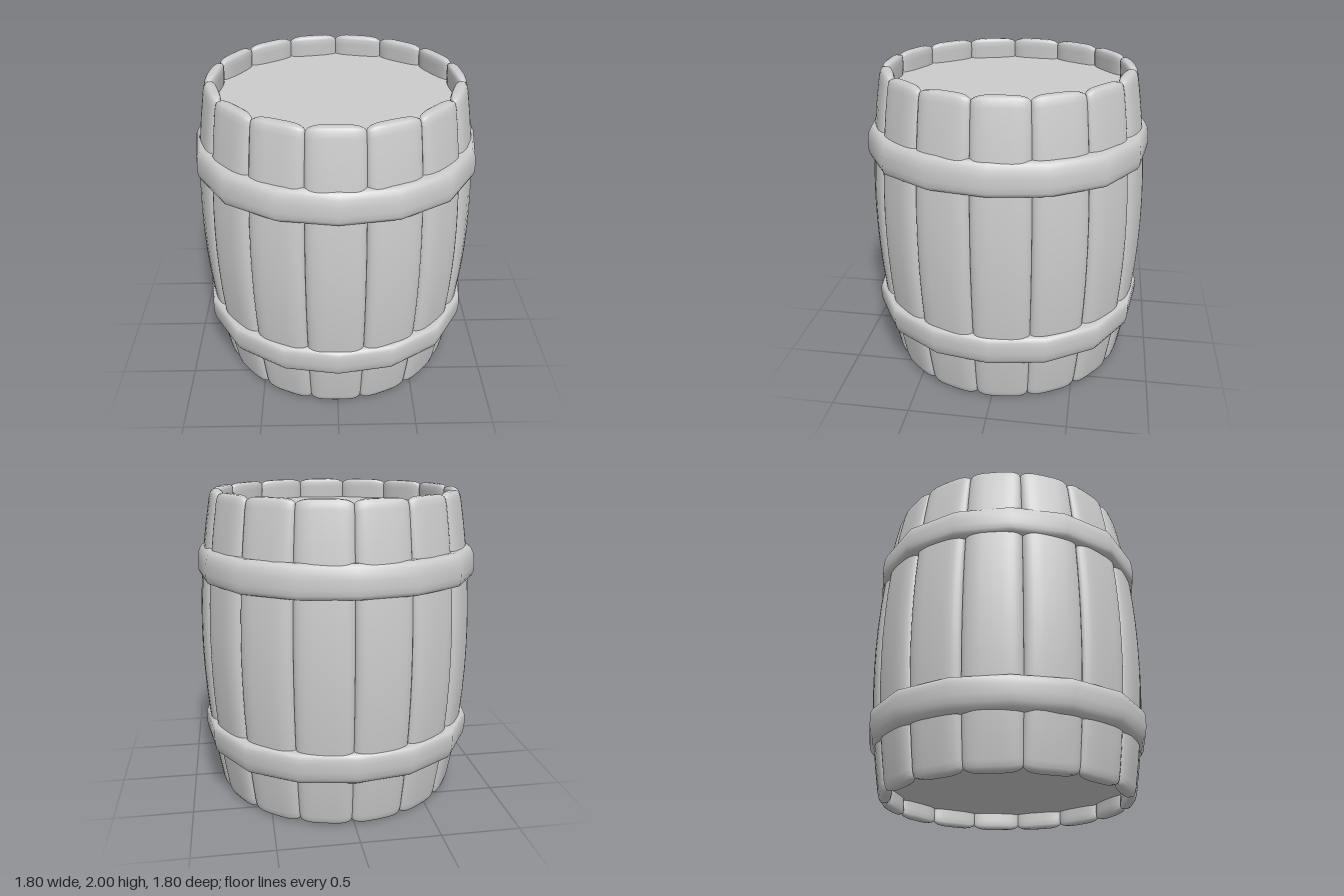
import * as THREE from 'three';

const material = new THREE.MeshStandardMaterial({ color: 0xcccccc });
const STAVES = 15;
const STEP = (Math.PI * 2) / STAVES;

function addMesh(parent, geometry, name) {
  const mesh = new THREE.Mesh(geometry, material);
  mesh.name = name;
  parent.add(mesh);
  return mesh;
}

// One bowed plank facing +z: rounded cross-sections lofted from bottom to top
function staveGeometry() {
  const sides = 28;
  const rows = [[0, 0.4], [0.006, 0.7], [0.022, 0.9], [0.055, 1]];
  for (let i = 1; i < 12; i++) rows.push([0.055 + (1.89 * i) / 12, 1]);
  rows.push([1.945, 1], [1.978, 0.9], [1.994, 0.7], [2, 0.4]);

  const round = (v, p) => Math.sign(v) * Math.pow(Math.abs(v), p);
  const positions = [];
  const index = [];
  rows.forEach(([y, fill]) => {
    const bow = (y - 1) ** 2;
    const half = 0.068 - 0.028 * bow; // half thickness
    const mid = 0.9 - 0.1 * bow - half; // radius of the plank's centre
    const width = mid * Math.tan(STEP / 2) + 0.003;
    const inset = (1 - fill) * 0.037;
    for (let j = 0; j < sides; j++) {
      const a = (j / sides) * Math.PI * 2;
      const across = round(Math.cos(a), 0.68);
      // Ends curve back a little towards the plank's long edges
      const drop = 1 - 0.02 * Math.abs(across) ** 5;
      positions.push(
        across * (width - inset * 0.4),
        1 + (y - 1) * drop,
        mid + round(Math.sin(a), 0.86) * (half - inset)
      );
    }
  });
  for (let i = 0; i < rows.length - 1; i++) {
    for (let j = 0; j < sides; j++) {
      const a = i * sides + j;
      const b = i * sides + ((j + 1) % sides);
      index.push(a, a + sides, b, b, a + sides, b + sides);
    }
  }
  // End caps, in strips between the outer and inner halves
  const t = (rows.length - 1) * sides;
  for (let j = 0; j < sides / 2; j++) {
    const [a, b, c, d] = [j, j + 1, sides - j - 1, (sides - j) % sides];
    index.push(a, b, c, a, c, d, t + a, t + c, t + b, t + a, t + d, t + c);
  }
  const geometry = new THREE.BufferGeometry();
  geometry.setAttribute('position', new THREE.Float32BufferAttribute(positions, 3));
  geometry.setIndex(index);
  geometry.computeVertexNormals();
  return geometry;
}

// Sixteen-sided band, tapered outwards, slightly fuller on the diagonals
function hoopGeometry(lower) {
  let profile = [
    [0.78, 1.45], [0.87, 1.455], [0.89, 1.462], [0.9, 1.485], [0.902, 1.52],
    [0.9, 1.57], [0.892, 1.615], [0.875, 1.645], [0.852, 1.66], [0.78, 1.655],
  ];
  if (lower) profile = profile.map(([r, y]) => [r, 1.975 - y]).reverse();
  const geometry = new THREE.LatheGeometry(profile.map(([r, y]) => new THREE.Vector2(r, y)), 16);
  const p = geometry.attributes.position;
  for (let i = 0; i < p.count; i++) {
    const angle = Math.atan2(p.getX(i), p.getZ(i));
    const k = 1 + 0.03 * Math.sin(2 * angle) ** 2;
    p.setXYZ(i, p.getX(i) * k, p.getY(i), p.getZ(i) * k);
  }
  return geometry;
}

export function createModel() {
  const barrel = new THREE.Group();
  barrel.name = 'barrel';

  // Ring of planks
  const staves = new THREE.Group();
  staves.name = 'staves';
  const stave = staveGeometry();
  for (let i = 0; i < STAVES; i++) {
    addMesh(staves, stave, 'stave').rotation.y = i * STEP - 0.018;
  }
  barrel.add(staves);

  // Bands
  addMesh(barrel, hoopGeometry(false), 'upperHoop');
  addMesh(barrel, hoopGeometry(true), 'lowerHoop');

  // Recessed end discs
  addMesh(barrel, new THREE.CylinderGeometry(0.785, 0.785, 0.06, 48), 'lid').position.y = 1.837;
  addMesh(barrel, new THREE.CylinderGeometry(0.785, 0.785, 0.06, 48), 'base').position.y = 0.14;

  return barrel;
}
